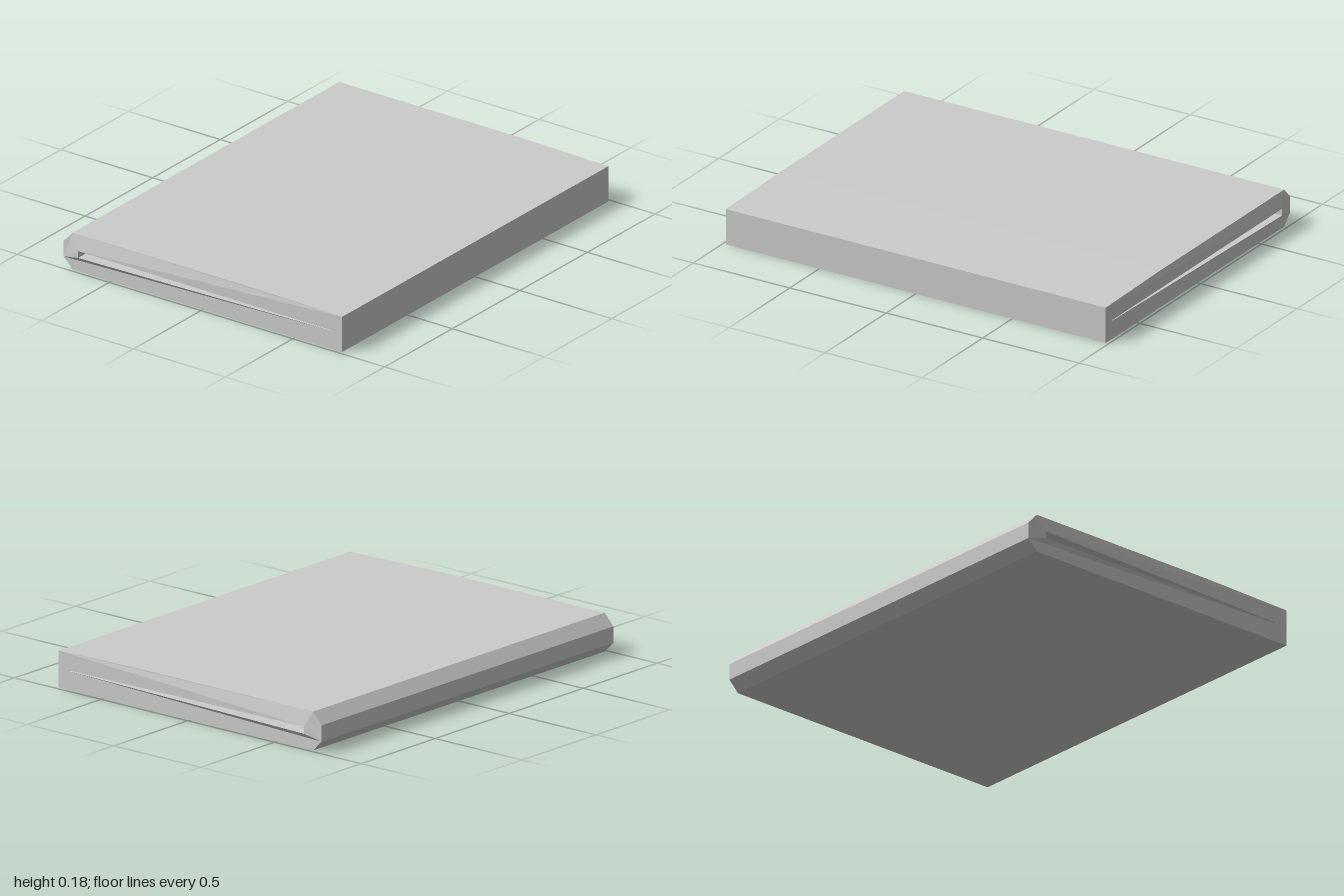
import * as THREE from 'three';

const HALF = 0.985; // half length along the spine
const BULGE = 0.015; // how far the slit's rim stands proud at the spine end

export function createModel() {
  const model = new THREE.Group();
  const material = new THREE.MeshStandardMaterial({ color: 0xcccccc, flatShading: true });
  const points = (list) => list.map(([x, y]) => new THREE.Vector2(x, y));

  // Cross-section: chamfered spine on the right, two covers closing towards the left
  const section = new THREE.Shape(points([
    [-0.71, 0], [0.757, 0], [0.757, 0.17], [0.3, 0.178],
    [-0.71, 0.178], [-0.76, 0.125], [-0.76, 0.05],
  ]));
  // Narrow wedge between the covers, running the whole length
  const gap = points([[-0.67, 0.072], [-0.67, 0.105], [0.7, 0.09], [0.7, 0.087]]);
  section.holes.push(new THREE.Path(gap));

  const geometry = new THREE.ExtrudeGeometry(section, { depth: 2 * HALF, bevelEnabled: false });
  geometry.translate(0, 0, -HALF);

  // Push the rim of the gap outwards, fading away from the spine
  const pos = geometry.attributes.position;
  for (let i = 0; i < pos.count; i++) {
    const x = pos.getX(i), y = pos.getY(i), z = pos.getZ(i);
    const onRim = gap.some((p) => Math.hypot(p.x - x, p.y - y) < 1e-4);
    if (onRim) pos.setZ(i, z + Math.sign(z) * BULGE * (0.7 - x) / 1.37);
  }
  geometry.computeVertexNormals();

  const covers = new THREE.Mesh(geometry, material);
  covers.name = 'foldedCovers';
  model.add(covers);
  return model;
}
